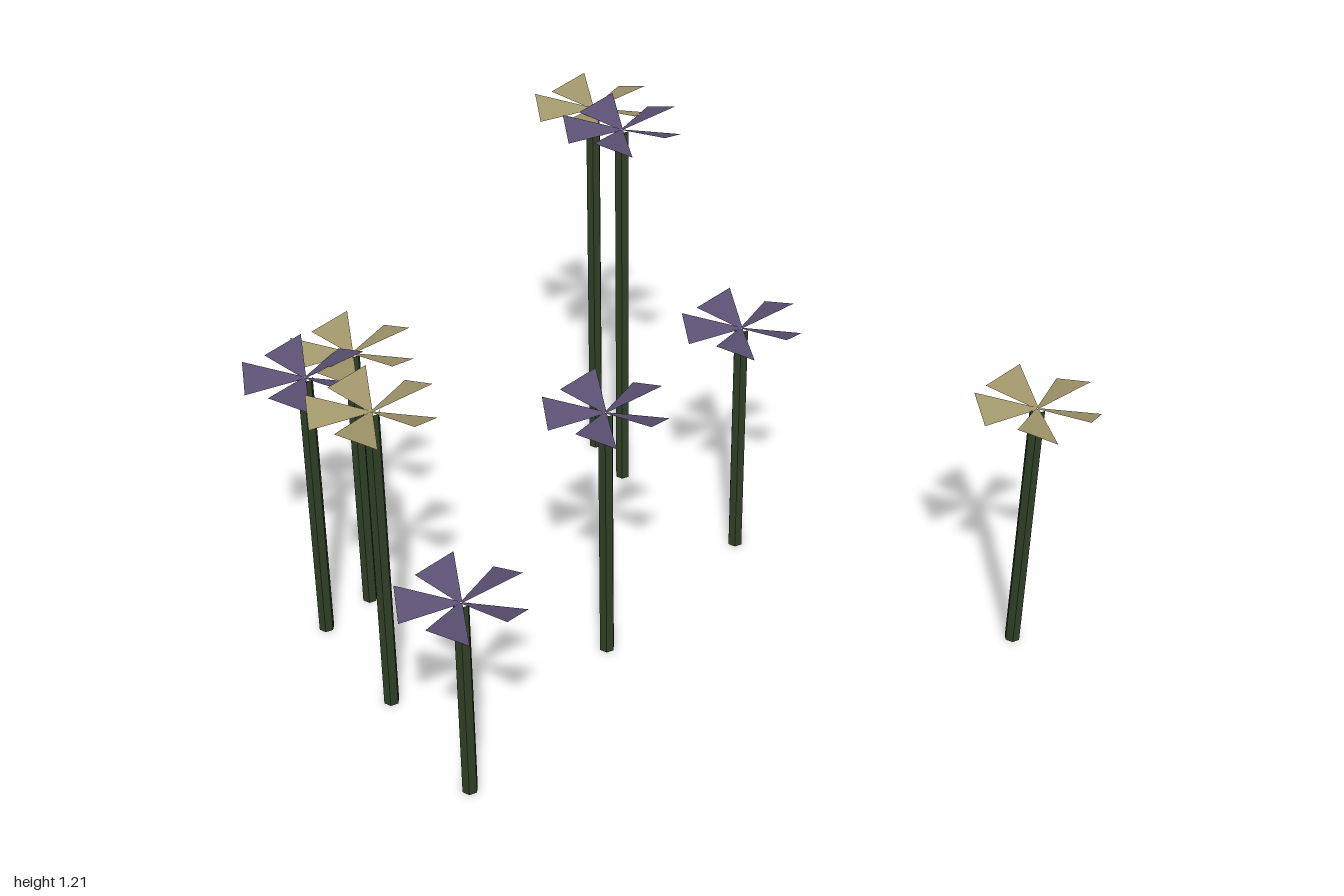
import * as THREE from 'three';

const stemGreen = new THREE.MeshStandardMaterial({ color: 0x2f3f27 });
stemGreen.name = 'dark stem green';
stemGreen.flatShading = true;
const straw = new THREE.MeshStandardMaterial({ color: 0xa1966a, side: THREE.DoubleSide });
straw.name = 'straw yellow';
const violet = new THREE.MeshStandardMaterial({ color: 0x5b5173, side: THREE.DoubleSide });
violet.name = 'dusky violet';

const STEM_RADIUS = 0.0215;

// one flat petal pointing to -z, pitched like a propeller blade
function petalGeometry() {
  const g = new THREE.BufferGeometry();
  g.setAttribute('position', new THREE.Float32BufferAttribute([
    -0.004, -0.001, -0.002,
    0.004, 0.001, -0.002,
    0.053, 0.033, -0.158,
    -0.053, -0.003, -0.158,
  ], 3));
  g.setIndex([0, 1, 2, 0, 2, 3]);
  g.computeVertexNormals();
  return g;
}

function makeFlower(x, z, height, petalMaterial, petal) {
  const flower = new THREE.Group();
  flower.name = 'flower';

  // open six-sided stem
  const stem = new THREE.Mesh(
    new THREE.CylinderGeometry(STEM_RADIUS, STEM_RADIUS, height, 6, 1, true, Math.PI / 6),
    stemGreen);
  stem.name = 'stem';
  stem.position.y = height / 2;
  flower.add(stem);

  // ring of five petals
  const head = new THREE.Group();
  head.name = 'flowerHead';
  head.position.y = height;
  for (let i = 0; i < 5; i++) {
    const mesh = new THREE.Mesh(petal, petalMaterial);
    mesh.name = 'petal';
    mesh.rotation.y = (i * 2 * Math.PI) / 5;
    head.add(mesh);
  }
  flower.add(head);
  flower.position.set(x, 0, z);
  return flower;
}

export function createModel() {
  const model = new THREE.Group();
  model.name = 'flowerPatch';
  const petal = petalGeometry();

  // x, z, stem height
  const strawFlowers = [
    [0.834, 0.697, 0.763], [-0.8, 0.14, 0.932],
    [-0.677, -0.302, 0.822], [0.248, -0.697, 1.157],
  ];
  const violetFlowers = [
    [-0.76, 0.557, 0.607], [-0.184, 0.21, 0.78], [0.374, -0.049, 0.737],
    [0.243, -0.51, 1.174], [-0.836, -0.236, 0.83],
  ];
  for (const [x, z, h] of strawFlowers) model.add(makeFlower(x, z, h, straw, petal));
  for (const [x, z, h] of violetFlowers) model.add(makeFlower(x, z, h, violet, petal));
  return model;
}
